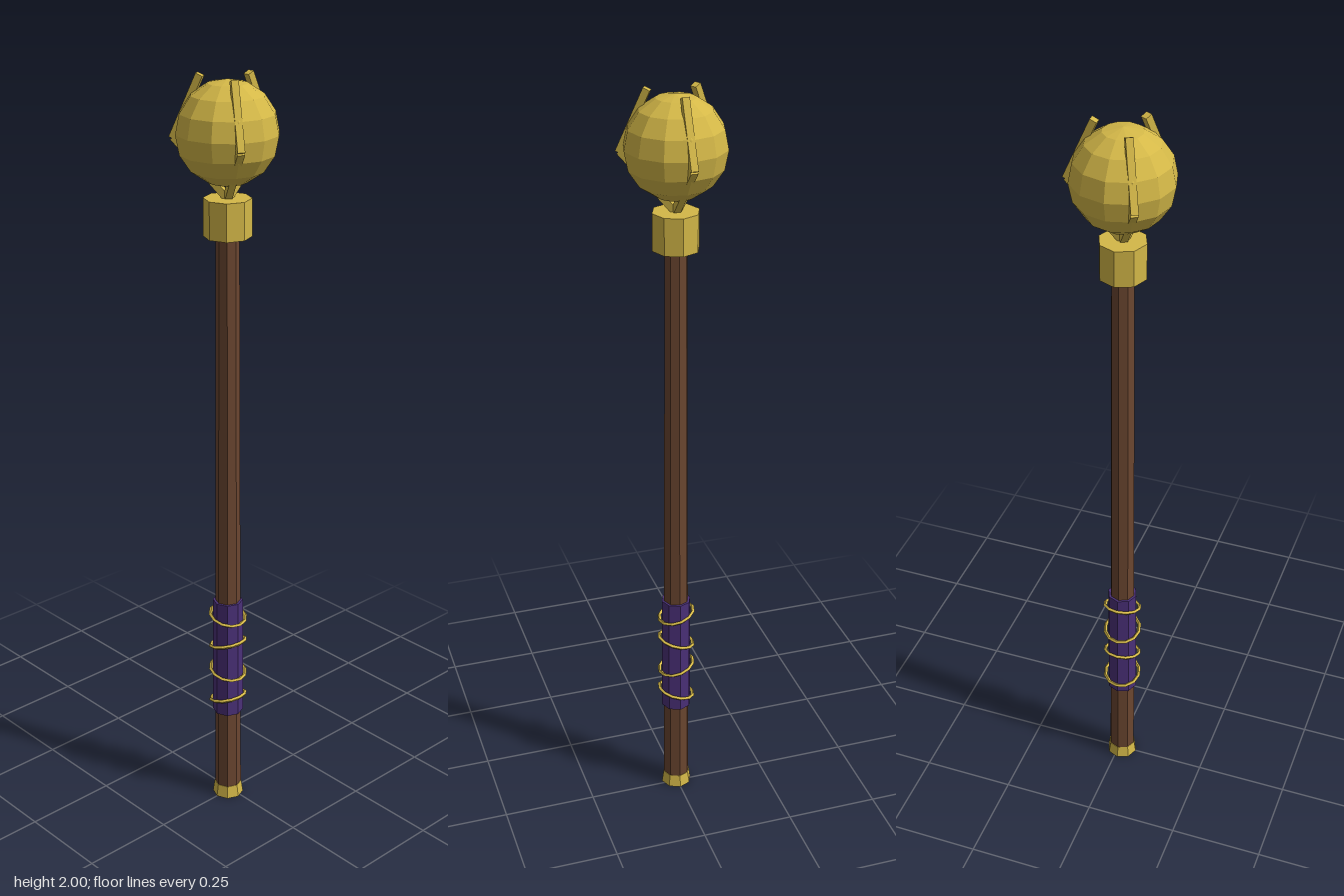
import * as THREE from 'three';

const material = (name, color) => {
  const m = new THREE.MeshStandardMaterial({ color, flatShading: true });
  m.name = name;
  return m;
};

export function createModel() {
  const model = new THREE.Group();
  model.name = 'scepter';
  const gold = material('gold', 0xd4b848);
  const wood = material('brown wood', 0x6b4630);
  const purple = material('purple cloth', 0x4a3078);

  const staff = new THREE.Group();
  staff.name = 'staff';
  staff.position.x = -0.01;
  model.add(staff);

  const add = (name, geometry, mat, y, parent = staff) => {
    const mesh = new THREE.Mesh(geometry, mat);
    mesh.name = name;
    mesh.position.y = y;
    parent.add(mesh);
    return mesh;
  };
  // Eight-sided column between two heights
  const column = (name, rTop, rBottom, y0, y1, mat) =>
    add(name, new THREE.CylinderGeometry(rTop, rBottom, y1 - y0, 8), mat, (y0 + y1) / 2);

  column('pommel', 0.037, 0.042, 0, 0.035, gold);
  column('shaft', 0.029, 0.036, 0.02, 1.65, wood);
  column('grip', 0.04, 0.041, 0.27, 0.61, purple);
  column('collar', 0.06, 0.06, 1.61, 1.705, gold);

  // Wire rings round the grip, tilted alternately
  for (let i = 0; i < 4; i++) {
    const ring = add('gripRing', new THREE.TorusGeometry(0.048, 0.005, 4, 12), gold, 0.312 + i * 0.084);
    ring.rotation.x = Math.PI / 2 + (i % 2 ? 0.28 : -0.28);
  }

  // Faceted orb
  add('orb', new THREE.SphereGeometry(0.127, 12, 8), gold, 1.862);

  // Three bent claws holding the orb, each of two square bars
  const bar = (name, a, b, parent) => {
    const dx = b[0] - a[0], dy = b[1] - a[1];
    const mesh = add(name, new THREE.BoxGeometry(0.018, Math.hypot(dx, dy), 0.018), gold, (a[1] + b[1]) / 2, parent);
    mesh.position.x = (a[0] + b[0]) / 2;
    mesh.rotation.z = Math.atan2(-dx, dy);
  };
  for (let i = 0; i < 3; i++) {
    const claw = new THREE.Group();
    claw.name = 'claw';
    claw.rotation.y = (i * Math.PI * 2) / 3;
    bar('clawArm', [0, 1.705], [0.135, 1.845], claw);
    bar('clawTip', [0.137, 1.842], [0.068, 1.996], claw);
    staff.add(claw);
  }
  return model;
}
